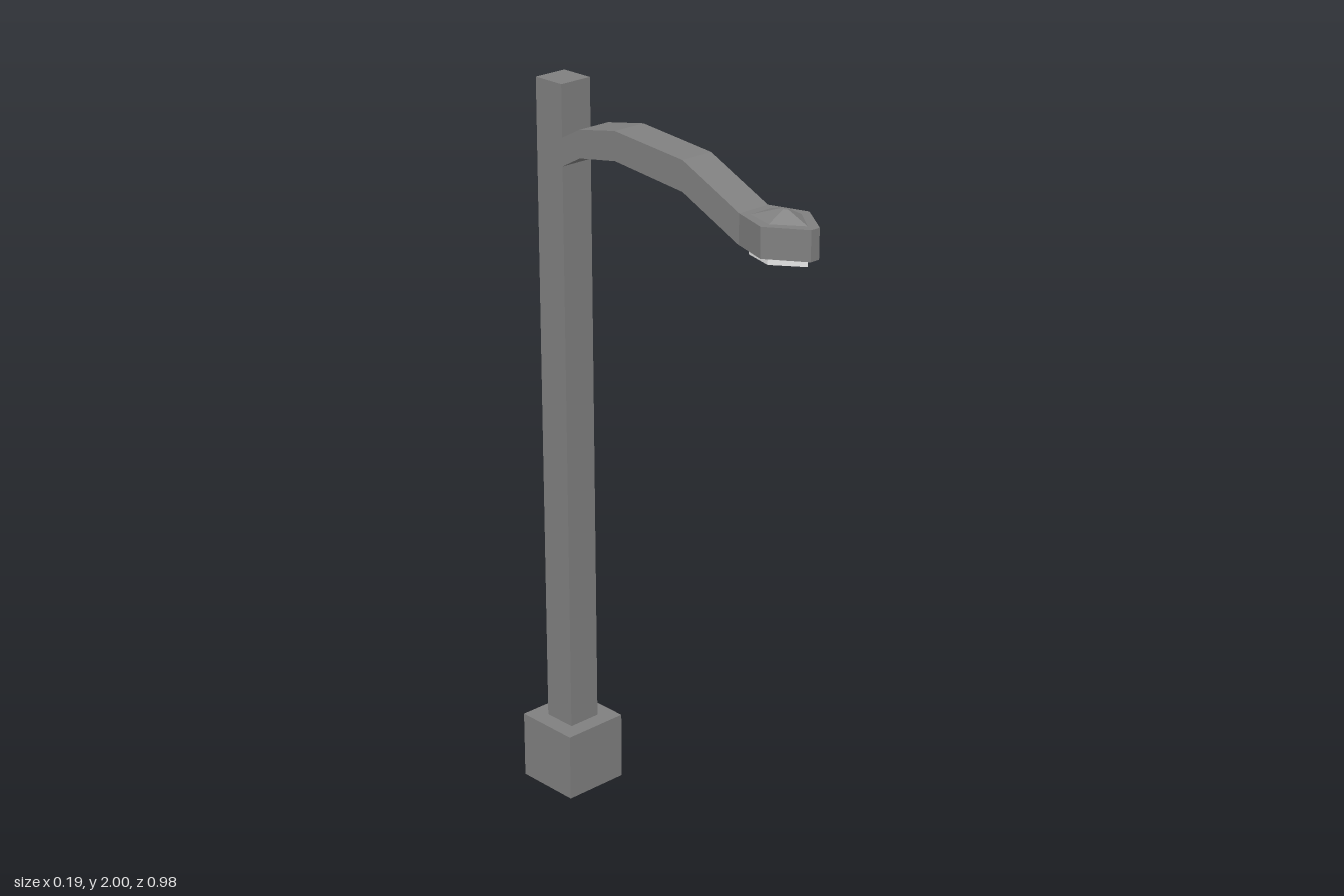
import * as THREE from 'three';

// Extrudes a right-half plan outline [x, z], mirrored across x, from y0 to y1
function planPrism(half, y0, y1) {
  const mirrored = half.filter(([x]) => x > 0).map(([x, z]) => [-x, z]).reverse();
  const points = [...half, ...mirrored].map(([x, z]) => new THREE.Vector2(x, -z));
  const geometry = new THREE.ExtrudeGeometry(new THREE.Shape(points), { depth: y1 - y0, bevelEnabled: false });
  return geometry.rotateX(-Math.PI / 2).translate(0, y0, 0);
}

export function createModel() {
  const group = new THREE.Group();
  const metal = new THREE.MeshStandardMaterial({ color: 0x808080 });
  metal.name = 'grey metal';
  const glow = new THREE.MeshStandardMaterial({ color: 0xe6e6e6 });
  glow.name = 'pale lamp';

  function add(name, geometry, material = metal) {
    const mesh = new THREE.Mesh(geometry, material);
    mesh.name = name;
    group.add(mesh);
  }

  // Square footing and post
  add('base', new THREE.BoxGeometry(0.19, 0.19, 0.19).translate(0, 0.095, -0.395));
  add('post', new THREE.BoxGeometry(0.096, 1.81, 0.096).translate(0, 1.095, -0.394));

  // Bent arm: side profile as [z, y], extruded across x
  const armProfile = [
    [-0.346, 1.787], [-0.28, 1.823], [-0.15, 1.845], [0.09, 1.822], [0.285, 1.735],
    [0.285, 1.815], [0.09, 1.902], [-0.15, 1.922], [-0.28, 1.897], [-0.346, 1.862],
  ].map(([z, y]) => new THREE.Vector2(z, y));
  const arm = new THREE.ExtrudeGeometry(new THREE.Shape(armProfile), { depth: 0.096, bevelEnabled: false });
  add('arm', arm.rotateY(-Math.PI / 2).translate(0.048, 0, 0));

  // Pointed lamp head
  add('lampHead', planPrism([[0.048, 0.285], [0.082, 0.39], [0.014, 0.489]], 1.736, 1.815));

  // Faceted cap: the upper outline is drawn in towards its centre
  const inner = [[0.035, 0.306], [0.057, 0.39], [0, 0.466]];
  const cap = planPrism(inner, 1.814, 1.841);
  const p = cap.attributes.position;
  for (let i = 0; i < p.count; i++) {
    if (p.getY(i) > 1.83) p.setXYZ(i, p.getX(i) * 0.12, p.getY(i), 0.39 + (p.getZ(i) - 0.39) * 0.12);
  }
  cap.computeVertexNormals();
  add('lampCap', cap);

  // Light panel under the head
  add('lampPanel', planPrism(inner, 1.715, 1.737), glow);

  return group;
}
